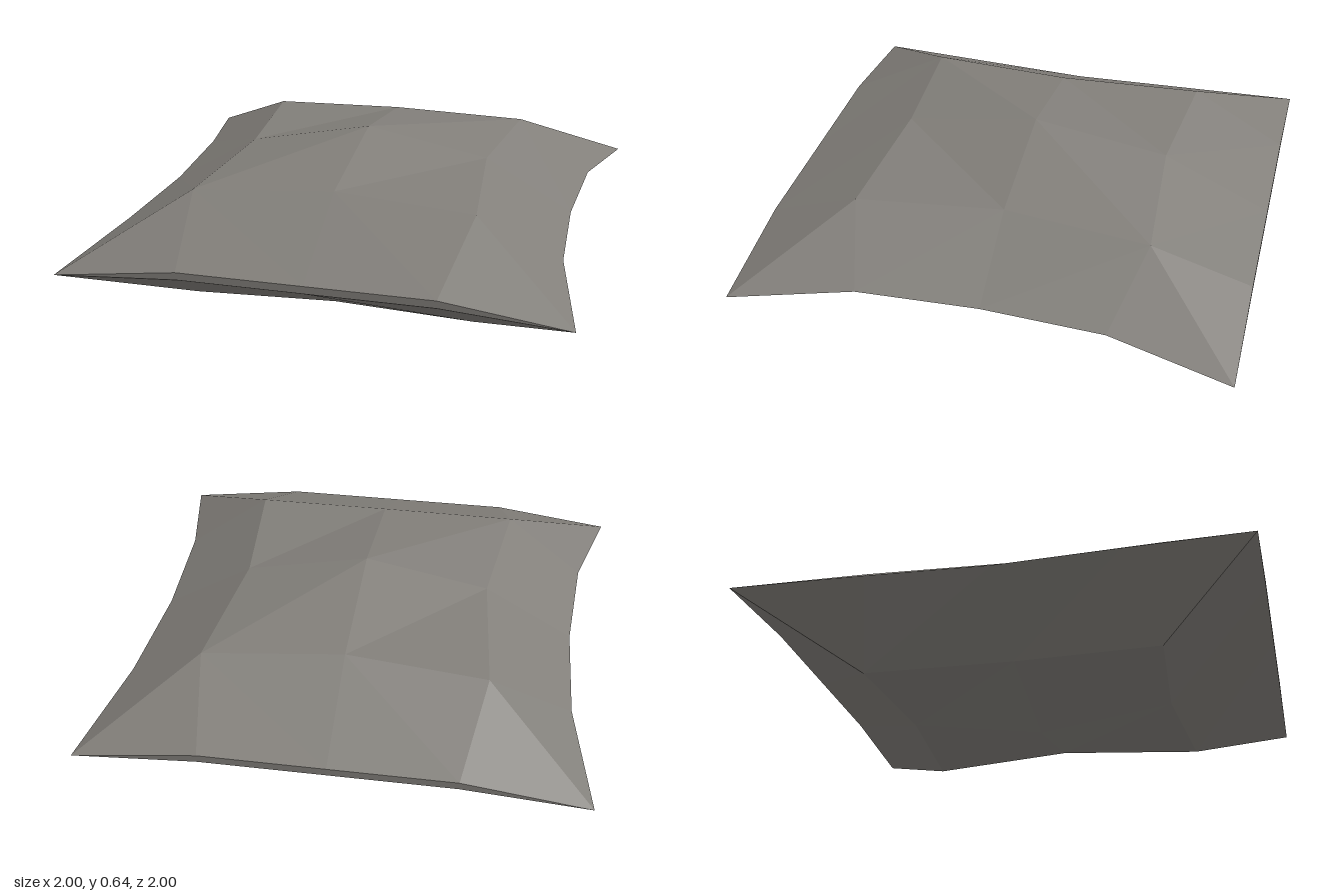
import * as THREE from 'three';

// Points of one quadrant (+x, +z); heights differ between upper and lower shell
const quadrant = (centre, sideMid, endMid, inner, endEdge) => ({
  C: [0, centre, 0],
  MX: [0.51, sideMid, 0],
  MZ: [0, endMid, 0.558],
  K: [0.57, inner, 0.6],
  E: [1, 0.285, 1],
  EX0: [0.873, 0.335, 0],
  EX5: [0.897, 0.335, 0.5],
  EZ0: [0, endEdge, 1],
  EZ5: [0.5, endEdge, 1],
});
const upper = quadrant(0.645, 0.545, 0.557, 0.53, 0.35);
const lower = quadrant(0, 0.1, 0.082, 0.08, 0.32);

// Flat faceted geometry from polygons given for the +x +z quadrant, mirrored to all four
function mirrored(facesFor, upsideDown) {
  const positions = [];
  for (const sx of [1, -1]) for (const sz of [1, -1]) {
    const flip = (sx * sz < 0) !== upsideDown;
    for (const face of facesFor(sx * sz)) {
      const loop = flip ? [...face].reverse() : face;
      for (let i = 1; i < loop.length - 1; i++) {
        for (const [x, y, z] of [loop[0], loop[i], loop[i + 1]]) positions.push(x * sx, y, z * sz);
      }
    }
  }
  const geometry = new THREE.BufferGeometry();
  geometry.setAttribute('position', new THREE.Float32BufferAttribute(positions, 3));
  geometry.computeVertexNormals();
  return geometry;
}

// Domed shell: raised centre, sloping border, pulled-out corners
const shellFaces = ({ C, MX, MZ, K, E, EX0, EX5, EZ0, EZ5 }) => (side) => [
  ...(side < 0 ? [[C, MZ, K], [C, K, MX]] : [[C, MZ, MX], [MZ, K, MX]]),
  [MX, K, EX5, EX0],
  [K, E, EX5],
  [K, EZ5, E],
  [MZ, EZ0, EZ5, K],
];

// Narrow seam closing the front and back ends
const seamFaces = () => [
  [lower.EZ0, lower.EZ5, upper.EZ5, upper.EZ0],
  [lower.EZ5, lower.E, upper.EZ5],
];

export function createModel() {
  const group = new THREE.Group();
  group.name = 'cushion';
  const fabric = new THREE.MeshStandardMaterial({ color: 0x827f7a });
  fabric.name = 'grey fabric';

  const add = (name, geometry) => {
    const mesh = new THREE.Mesh(geometry, fabric);
    mesh.name = name;
    group.add(mesh);
  };
  add('upperShell', mirrored(shellFaces(upper), false));
  add('lowerShell', mirrored(shellFaces(lower), true));
  add('endSeams', mirrored(seamFaces, false));
  return group;
}
